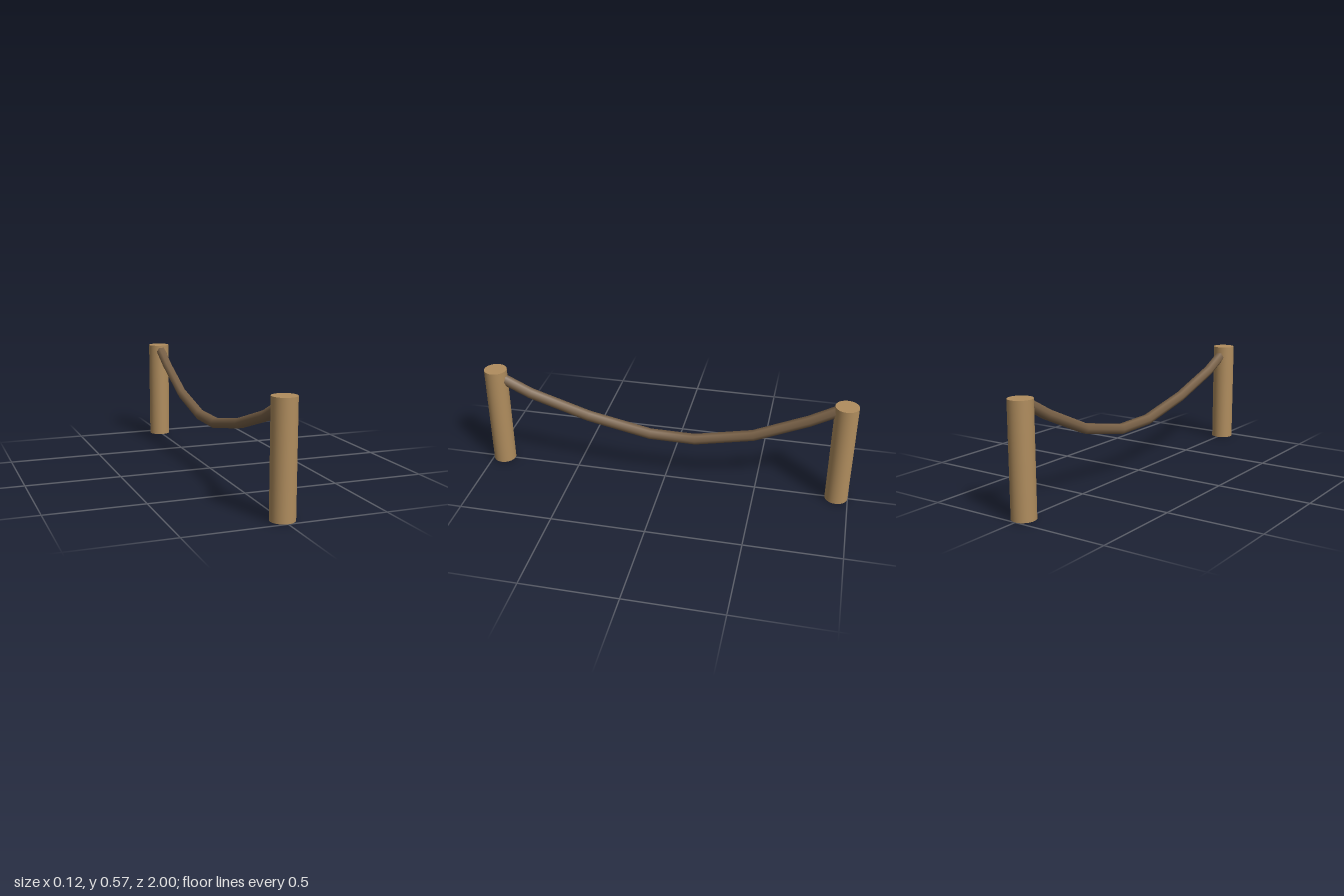
import * as THREE from 'three';

// Polyline curve: one straight span between neighbouring points
class Polyline extends THREE.Curve {
  constructor(points) {
    super();
    this.points = points;
  }
  getPoint(t, target = new THREE.Vector3()) {
    const n = this.points.length - 1;
    const i = Math.min(Math.floor(t * n), n - 1);
    return target.lerpVectors(this.points[i], this.points[i + 1], t * n - i);
  }
  getUtoTmapping(u) {
    return u;
  }
}

export function createModel() {
  const group = new THREE.Group();
  group.name = 'ropeBarrier';

  const wood = new THREE.MeshStandardMaterial({ color: 0xb08d5e });
  wood.name = 'light wood';
  const ropeBrown = new THREE.MeshStandardMaterial({ color: 0x7a6248 });
  ropeBrown.name = 'rope brown';

  // Two round posts
  const height = 0.566, radius = 0.061;
  const postGeometry = new THREE.CylinderGeometry(radius, radius, height, 32);
  for (const [name, side] of [['frontPost', 1], ['backPost', -1]]) {
    const post = new THREE.Mesh(postGeometry, wood);
    post.name = name;
    post.position.set(0, height / 2, side * (1 - radius));
    group.add(post);
  }

  // Sagging six-sided rope, its ends hidden inside the posts
  const sag = [
    [0.92, 0.522], [0.748, 0.44], [0.426, 0.338], [0.083, 0.268],
    [-0.164, 0.266], [-0.475, 0.332], [-0.759, 0.458], [-0.905, 0.539],
  ].map(([z, y]) => new THREE.Vector3(0, y, z));
  const rope = new THREE.Mesh(
    new THREE.TubeGeometry(new Polyline(sag), sag.length - 1, 0.029, 6), ropeBrown);
  rope.name = 'rope';
  group.add(rope);

  return group;
}
